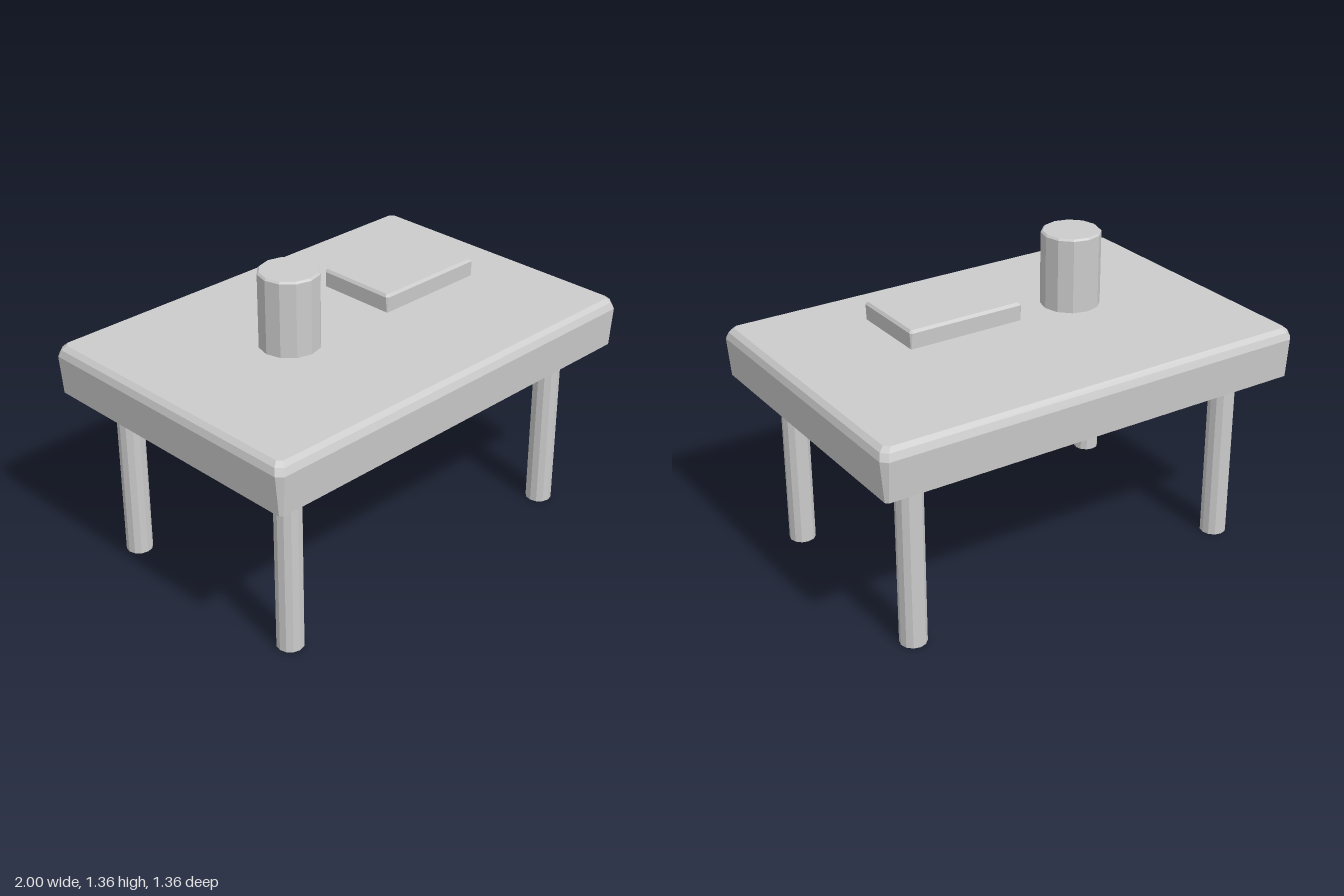
import * as THREE from 'three';

const material = new THREE.MeshStandardMaterial({ color: 0xcccccc, flatShading: true, side: THREE.DoubleSide });

function addMesh(parent, name, geometry, x = 0, y = 0, z = 0) {
  const mesh = new THREE.Mesh(geometry, material);
  mesh.name = name;
  mesh.position.set(x, y, z);
  parent.add(mesh);
  return mesh;
}

// Hollow block from stacked corner-cut rectangles: rings are [y, halfX, halfZ, cut]
function shellGeometry(rings) {
  const positions = [];
  const indices = [];
  for (const [y, a, b, c] of rings) {
    const outline = [
      [a, b - c], [a - c, b], [c - a, b], [-a, b - c],
      [-a, c - b], [c - a, -b], [a - c, -b], [a, c - b],
    ];
    for (const [x, z] of outline) positions.push(x, y, z);
  }
  for (let r = 0; r < rings.length - 1; r++) {
    for (let i = 0; i < 8; i++) {
      const p = r * 8 + i;
      const q = r * 8 + (i + 1) % 8;
      indices.push(p, p + 8, q, q, p + 8, q + 8);
    }
  }
  // closed top, open underside
  const top = (rings.length - 1) * 8;
  for (let i = 1; i < 7; i++) indices.push(top, top + i + 1, top + i);
  const geometry = new THREE.BufferGeometry();
  geometry.setAttribute('position', new THREE.Float32BufferAttribute(positions, 3));
  geometry.setIndex(indices);
  geometry.computeVertexNormals();
  return geometry;
}

// Faceted cylinder with an open foot and a slightly bevelled, closed top
function postGeometry(radius, height, bevel, sides) {
  const profile = [[radius, 0], [radius, height - bevel], [radius - bevel, height], [0, height]];
  return new THREE.LatheGeometry(profile.map(([x, y]) => new THREE.Vector2(x, y)), sides);
}

export function createModel() {
  const model = new THREE.Group();
  model.name = 'table';

  // Thick top, bulging a little below its bevelled edge
  addMesh(model, 'tableTop', shellGeometry([
    [0.785, 0.985, 0.668, 0.012],
    [0.96, 1.0, 0.68, 0.025],
    [0.99, 0.99, 0.668, 0.025],
    [1.008, 0.97, 0.65, 0.02],
  ]));

  // Four legs
  const leg = postGeometry(0.058, 0.85, 0.006, 12);
  for (const x of [-1, 1]) {
    for (const z of [-1, 1]) {
      addMesh(model, `${z > 0 ? 'front' : 'back'}${x > 0 ? 'Left' : 'Right'}Leg`, leg, x * 0.785, 0, z * 0.485);
    }
  }

  // Cup and book, both hovering just above the top
  addMesh(model, 'cup', postGeometry(0.13, 0.332, 0.008, 12), -0.342, 1.032, 0.033);
  addMesh(model, 'book', shellGeometry([
    [0, 0.262, 0.182, 0.004],
    [0.068, 0.265, 0.185, 0.008],
    [0.08, 0.256, 0.176, 0.006],
  ]), 0.3, 1.103, 0.032);

  return model;
}
